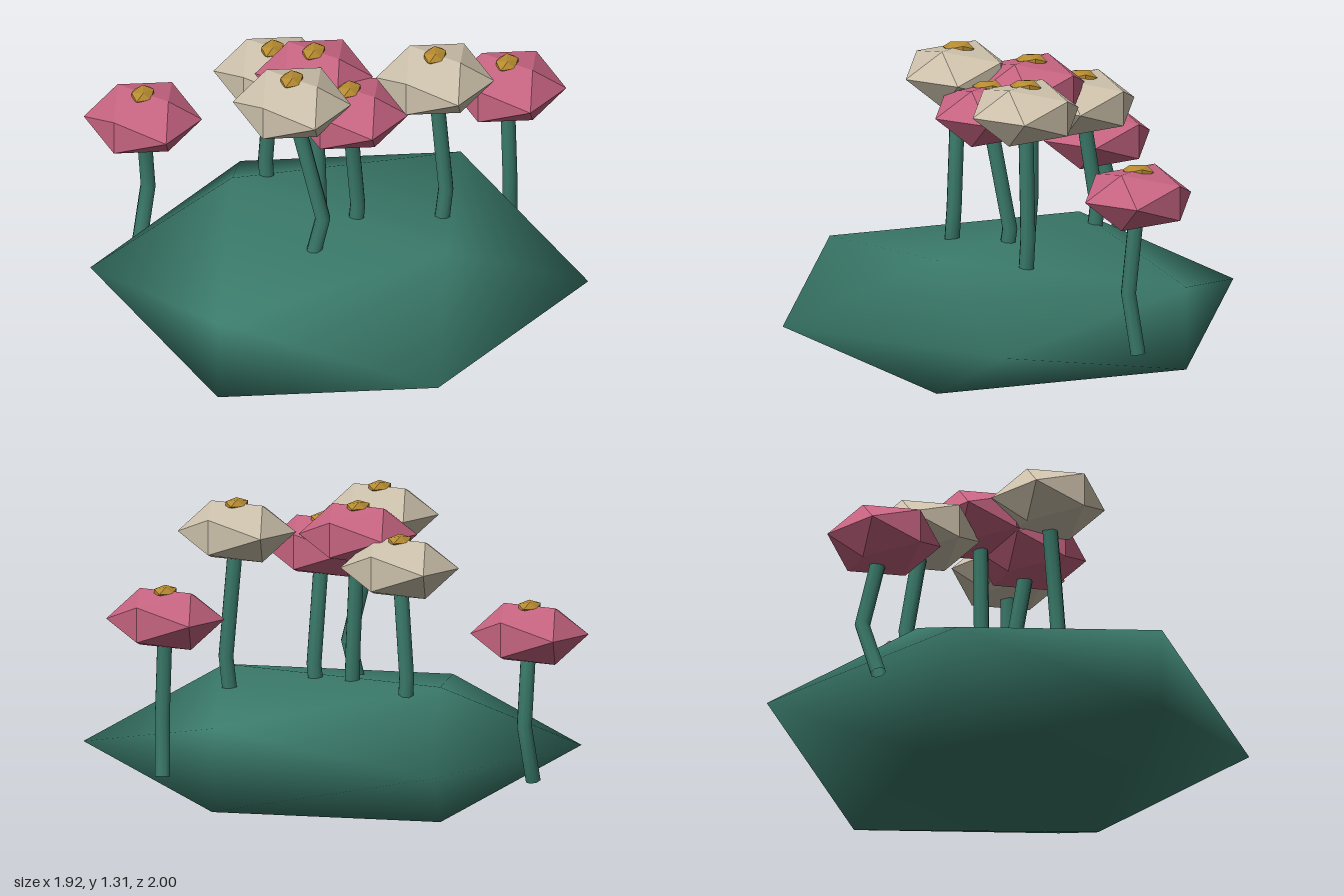
import * as THREE from 'three';
import { mergeVertices } from 'three/addons/utils/BufferGeometryUtils.js';
import { ConvexGeometry } from 'three/addons/geometries/ConvexGeometry.js';

const green = new THREE.MeshStandardMaterial({ name: 'leaf green', color: 0x3a7a6a, side: THREE.DoubleSide });
const pink = new THREE.MeshStandardMaterial({ name: 'petal pink', color: 0xc76482 });
const cream = new THREE.MeshStandardMaterial({ name: 'petal cream', color: 0xcec2ac });
const gold = new THREE.MeshStandardMaterial({ name: 'centre gold', color: 0xb58a30 });

// Flat-faced icosahedron whose poles lie on the z axis, scaled per axis
function icosahedron(rx, ry, rz) {
  const points = [];
  for (const s of [1, -1]) {
    points.push(new THREE.Vector3(0, 0, s * rz));
    for (let i = 0; i < 5; i++) {
      const a = (i * Math.PI * 2) / 5;
      points.push(new THREE.Vector3(s * 0.894 * Math.cos(a) * rx, s * 0.894 * Math.sin(a) * ry, s * 0.447 * rz));
    }
  }
  return new ConvexGeometry(points);
}

// Smooth-shaded version with shared corners
function smooth(geometry) {
  geometry.deleteAttribute('normal');
  const merged = mergeVertices(geometry, 1e-4);
  merged.computeVertexNormals();
  return merged;
}

// Stem of two straight lengths meeting at a knee
function stemGeometry(base, knee, top) {
  const curve = new THREE.CatmullRomCurve3([base, knee, top].map((p) => new THREE.Vector3(...p)));
  curve.getPointAt = (t, target) => curve.getPoint(t, target);
  curve.getTangentAt = (t, target) => curve.getTangent(t, target);
  return new THREE.TubeGeometry(curve, 2, 0.032, 8, false);
}

function mesh(name, geometry, material, position = [0, 0, 0]) {
  const m = new THREE.Mesh(geometry, material);
  m.name = name;
  m.position.set(...position);
  return m;
}

// Head position, knee and base of each flower
const flowers = [
  { petals: pink, head: [-0.645, 0.78, -0.665], knee: [-0.59, 0.42, -0.74], base: [-0.65, 0.19, -0.69] },
  { petals: pink, head: [0.74, 0.86, -0.19], knee: [0.735, 0.47, -0.15], base: [0.75, 0.22, -0.185] },
  { petals: cream, head: [-0.2, 1.035, -0.385], knee: [-0.2, 0.6, -0.455], base: [-0.2, 0.4, -0.43] },
  { petals: pink, head: [-0.13, 1.14, -0.13], knee: [-0.113, 0.7, -0.12], base: [-0.115, 0.45, -0.1] },
  { petals: cream, head: [-0.325, 1.175, 0.1], knee: [-0.22, 0.66, 0.17], base: [-0.27, 0.45, 0.16] },
  { petals: pink, head: [-0.07, 1.065, 0.09], knee: [-0.005, 0.6, 0.025], base: [-0.03, 0.42, 0.04] },
  { petals: cream, head: [0.3, 1.145, 0.1], knee: [0.343, 0.64, 0.11], base: [0.32, 0.45, 0.11] },
];

export function createModel() {
  const model = new THREE.Group();
  model.name = 'flowerMound';

  // Broad flattened mound
  model.add(mesh('mound', smooth(icosahedron(1, 0.322, 1)), green, [-0.075, 0.277, 0]));

  const headGeometry = icosahedron(0.238, 0.135, 0.235);
  const centreGeometry = icosahedron(0.05, 0.03, 0.068).rotateY(-Math.PI / 4);

  flowers.forEach(({ petals, head, knee, base }) => {
    const flower = new THREE.Group();
    flower.name = 'flower';
    flower.add(mesh('stem', stemGeometry(base, knee, head), green));
    flower.add(mesh('flowerHead', headGeometry, petals, head));
    flower.add(mesh('flowerCentre', centreGeometry, gold, [head[0], head[1] + 0.108, head[2]]));
    model.add(flower);
  });
  return model;
}
